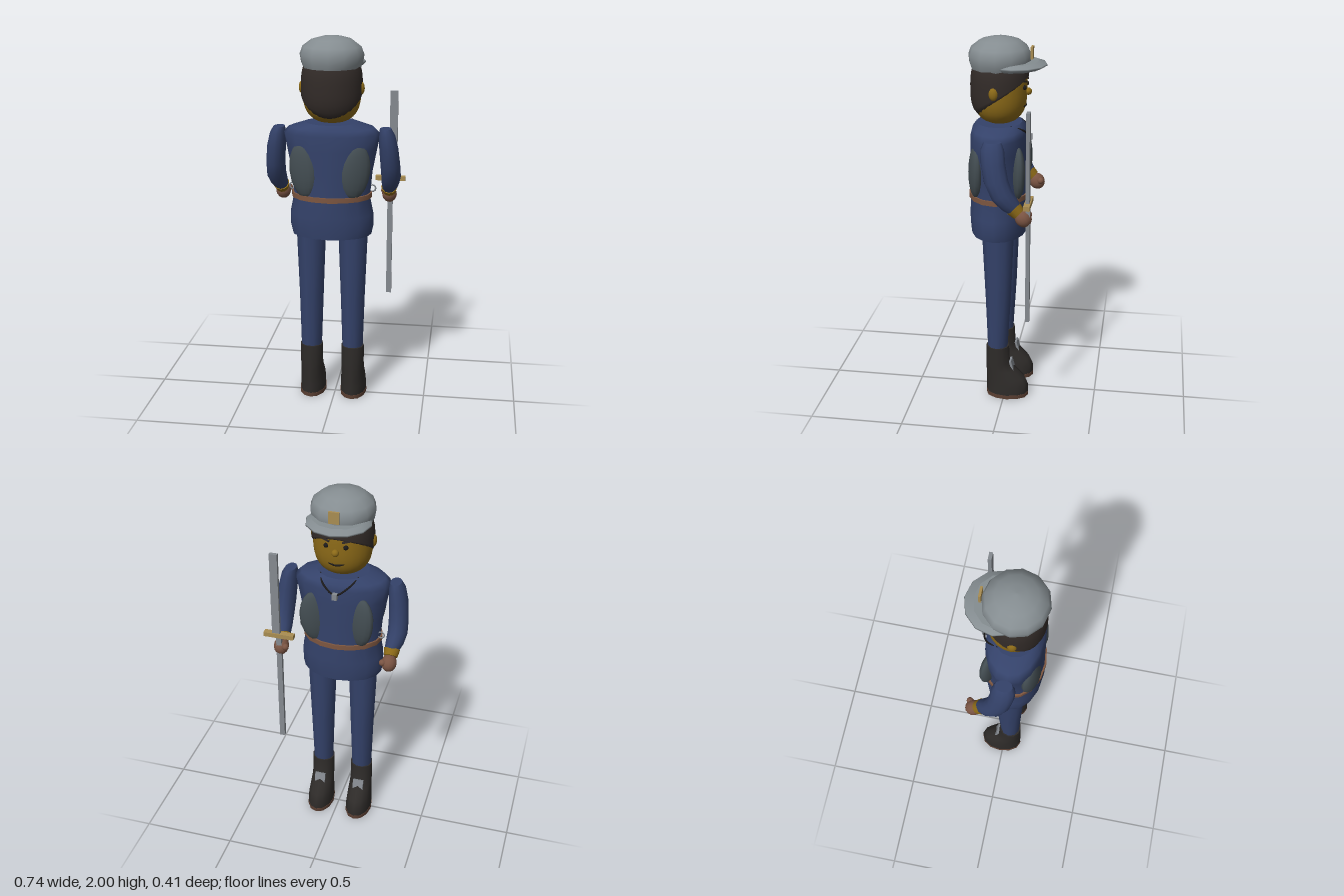
import * as THREE from 'three';
import { ParametricGeometry } from 'three/addons/geometries/ParametricGeometry.js';

const mat = (color) => new THREE.MeshStandardMaterial({ color, side: THREE.DoubleSide });
const M = {
  cloth: mat(0x34426a), boot: mat(0x2e2b29), sole: mat(0x5c4033), skin: mat(0x8c6a18),
  hand: mat(0x7a5443), hair: mat(0x322b28), cap: mat(0x858d91), plate: mat(0x434d52),
  belt: mat(0x7d5640), gold: mat(0xa98d52), steel: mat(0x858a90), dark: mat(0x1c1a1a),
};

// Closed skin over elliptical sections [x, y, z, rx, rz, tilt], listed bottom to top
function loft(sections, n = 12) {
  const pos = [], idx = [];
  const ring = ([x, y, z, rx, rz, tilt = 0]) => {
    const start = pos.length / 3;
    for (let j = 0; j < n; j++) {
      const t = (j / n) * Math.PI * 2, s = rz * Math.sin(t);
      pos.push(x + rx * Math.cos(t), y - s * Math.sin(tilt), z + s * Math.cos(tilt));
    }
    return start;
  };
  const rows = sections.map(ring);
  for (let i = 0; i < rows.length - 1; i++) {
    for (let j = 0; j < n; j++) {
      const k = (j + 1) % n, a = rows[i], b = rows[i + 1];
      idx.push(a + j, b + j, a + k, a + k, b + j, b + k);
    }
  }
  // Flat ends
  for (const top of [false, true]) {
    const s = sections[top ? sections.length - 1 : 0];
    const r = ring(s), c = pos.length / 3;
    pos.push(s[0], s[1], s[2]);
    for (let j = 0; j < n; j++) {
      const k = (j + 1) % n;
      idx.push(c, r + (top ? k : j), r + (top ? j : k));
    }
  }
  const g = new THREE.BufferGeometry();
  g.setAttribute('position', new THREE.Float32BufferAttribute(pos, 3));
  g.setIndex(idx);
  g.computeVertexNormals();
  return g;
}

function add(parent, name, geometry, material, p = [0, 0, 0], r = [0, 0, 0], s = [1, 1, 1]) {
  const m = new THREE.Mesh(geometry, material);
  m.name = name;
  m.position.set(...p);
  m.rotation.set(...r);
  m.scale.set(...s);
  parent.add(m);
  return m;
}
const box = (w, h, d) => new THREE.BoxGeometry(w, h, d);
const ball = (r) => new THREE.SphereGeometry(r, 14, 10);

// Rounded head outline: relative radius at height y
const headR = (y) => Math.pow(Math.max(0, 1 - Math.pow(Math.abs(y - 1.74) / 0.186, 2.8)), 1 / 2.8);

function buildHead(parent) {
  const head = new THREE.Group();
  head.name = 'head';
  parent.add(head);
  const rows = [];
  for (let i = 0; i <= 14; i++) {
    const y = 1.556 + 0.3 * Math.pow(i / 14, 1.5);
    rows.push([0, y, 0.04, 0.153 * headR(y), 0.142 * headR(y)]);
  }
  add(head, 'face', loft(rows, 24), M.skin);
  // Hair runs from a slanted hairline up under the cap
  add(head, 'hair', new ParametricGeometry((u, v, out) => {
    const t = -u * Math.PI * 2, low = 1.69 - 0.1 * Math.sin(t);
    const y = low + (1.86 - low) * v, k = headR(y) * (v === 0 ? 0.94 : 1);
    out.set(0.16 * k * Math.cos(t), y, 0.04 + 0.152 * k * Math.sin(t));
  }, 28, 8), M.hair);
  add(head, 'nose', ball(0.019), M.skin, [0, 1.72, -0.107]);
  for (const s of [-1, 1]) {
    add(head, 'ear', ball(1), M.skin, [s * 0.153, 1.735, 0.05], [0, 0, 0], [0.018, 0.034, 0.024]);
    add(head, 'eye', ball(0.013), M.dark, [s * 0.05, 1.75, -0.092]);
    add(head, 'eyebrow', box(0.042, 0.009, 0.012), M.hair, [s * 0.052, 1.782, -0.093], [0, s * -0.3, s * 0.2]);
  }
  const smile = new THREE.QuadraticBezierCurve3(
    new THREE.Vector3(-0.045, 1.655, -0.083), new THREE.Vector3(0, 1.635, -0.106), new THREE.Vector3(0.045, 1.655, -0.083));
  add(head, 'mouth', new THREE.TubeGeometry(smile, 10, 0.005, 6), M.dark);

  // Cap with visor and badge
  add(head, 'cap', loft([
    [0, 1.84, 0.04, 0.15, 0.15], [0, 1.865, 0.04, 0.16, 0.158], [0, 1.905, 0.04, 0.167, 0.163],
    [0, 1.945, 0.04, 0.152, 0.148], [0, 1.98, 0.04, 0.105, 0.103], [0, 1.995, 0.04, 0.05, 0.05],
    [0, 2, 0.04, 0.004, 0.004]]), M.cap);
  add(head, 'visor', loft([
    [0, 1.842, -0.03, 0.15, 0.14], [0, 1.857, -0.04, 0.167, 0.165],
    [0, 1.864, -0.04, 0.165, 0.162], [0, 1.878, -0.03, 0.14, 0.13]]), M.cap);
  add(head, 'capBadge', box(0.054, 0.062, 0.012), M.gold, [0, 1.92, -0.126]);
}

function buildTorso(parent) {
  add(parent, 'jacket', loft([
    [0, 0.955, 0.043, 0.212, 0.147], [0, 1.0, 0.043, 0.222, 0.152], [0, 1.07, 0.043, 0.222, 0.156],
    [0, 1.165, 0.043, 0.203, 0.152], [0, 1.3, 0.043, 0.215, 0.15], [0, 1.42, 0.043, 0.238, 0.15],
    [0, 1.5, 0.043, 0.255, 0.148], [0, 1.53, 0.043, 0.225, 0.14], [0, 1.557, 0.043, 0.137, 0.12]], 16), M.cloth);
  add(parent, 'belt', loft([[0, 1.158, 0.043, 0.214, 0.161], [0, 1.184, 0.043, 0.214, 0.161]], 16), M.belt);
  for (const s of [-1, 1]) {
    // Leaf-shaped plates on chest and back
    add(parent, 'chestPlate', ball(1), M.plate, [s * 0.122, 1.315, -0.07], [0, s * 0.35, s * -0.08], [0.078, 0.145, 0.036]);
    add(parent, 'backPlate', ball(1), M.plate, [s * 0.137, 1.315, 0.148], [0, s * 0.35, s * -0.12], [0.078, 0.145, 0.036]);
    add(parent, 'beltRing', new THREE.TorusGeometry(0.018, 0.004, 6, 12), M.steel, [s * 0.212, 1.2, 0.02]);
  }
  // Whistle on a cord
  const cord = new THREE.CatmullRomCurve3([
    [-0.1, 1.555, -0.03], [-0.07, 1.53, -0.092], [0, 1.485, -0.115], [0.07, 1.53, -0.092], [0.1, 1.555, -0.03],
  ].map((p) => new THREE.Vector3(...p)));
  add(parent, 'cord', new THREE.TubeGeometry(cord, 20, 0.005, 6), M.dark);
  add(parent, 'whistle', box(0.026, 0.034, 0.022), M.steel, [0, 1.478, -0.118]);
}

function buildLimbs(parent, s) {
  // Arm bending forward to the wrist
  add(parent, 'sleeve', loft([
    [s * 0.294, 1.185, -0.078, 0.038, 0.04, 0.8], [s * 0.302, 1.215, -0.05, 0.047, 0.05, 0.7],
    [s * 0.308, 1.26, -0.015, 0.052, 0.058, 0.45], [s * 0.305, 1.33, 0.014, 0.052, 0.062, 0.2],
    [s * 0.297, 1.42, 0.03, 0.05, 0.062], [s * 0.287, 1.49, 0.035, 0.043, 0.06],
    [s * 0.28, 1.525, 0.035, 0.03, 0.045]]), M.cloth);
  add(parent, 'cuff', loft([
    [s * 0.294, 1.16, -0.1, 0.036, 0.036, 0.8], [s * 0.294, 1.187, -0.073, 0.043, 0.043, 0.8]]), M.skin);
  add(parent, 'hand', ball(1), M.hand, [s * 0.292, 1.134, -0.123], [0.5, 0, 0], [0.04, 0.047, 0.043]);
  add(parent, 'thumb', ball(0.018), M.hand, [s * 0.262, 1.145, -0.147]);

  // Leg, boot, sole and buckle
  add(parent, 'trouserLeg', loft([
    [s * 0.114, 0.28, 0.038, 0.056, 0.054], [s * 0.113, 0.6, 0.034, 0.066, 0.07],
    [s * 0.113, 0.98, 0.035, 0.08, 0.086]], 10), M.cloth);
  add(parent, 'boot', loft([
    [s * 0.114, 0.02, -0.016, 0.072, 0.116], [s * 0.114, 0.07, -0.016, 0.071, 0.116],
    [s * 0.114, 0.11, -0.007, 0.068, 0.108], [s * 0.114, 0.16, 0.018, 0.064, 0.084],
    [s * 0.114, 0.205, 0.036, 0.063, 0.066], [s * 0.114, 0.305, 0.038, 0.063, 0.063]]), M.boot);
  add(parent, 'sole', loft([
    [s * 0.114, 0, -0.016, 0.073, 0.117], [s * 0.114, 0.022, -0.016, 0.074, 0.118]]), M.sole);
  add(parent, 'bootBuckle', box(0.06, 0.065, 0.012), M.steel, [s * 0.114, 0.185, -0.042], [0.25, 0, 0]);
}

function buildSword(parent) {
  const sword = new THREE.Group();
  sword.name = 'sword';
  sword.position.set(0.282, 0, -0.148);
  parent.add(sword);
  add(sword, 'upperBlade', box(0.042, 0.48, 0.019), M.steel, [0.014, 1.452, 0]);
  add(sword, 'lowerBlade', box(0.028, 0.66, 0.021), M.steel, [0, 0.886, 0]);
  add(sword, 'crossguard', box(0.162, 0.024, 0.033), M.gold, [0, 1.216, 0]);
}

export function createModel() {
  const model = new THREE.Group();
  model.name = 'guard';
  const figure = new THREE.Group();
  figure.name = 'figure';
  figure.position.x = -0.012;
  model.add(figure);
  buildHead(figure);
  buildTorso(figure);
  for (const s of [-1, 1]) buildLimbs(figure, s);
  buildSword(model);
  return model;
}
